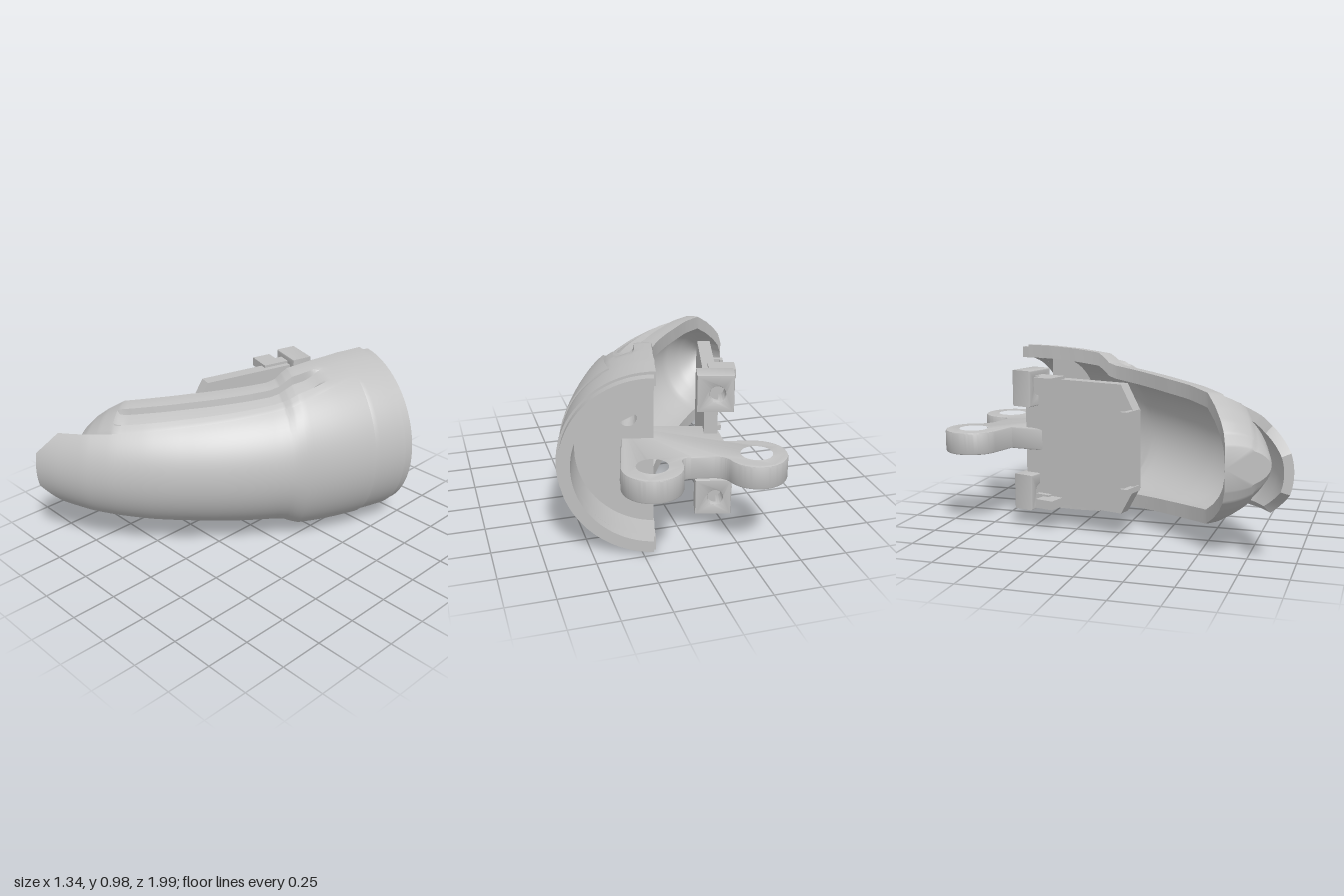
import * as THREE from 'three';
import { toCreasedNormals } from 'three/addons/utils/BufferGeometryUtils.js';

const MID = 0.49;                 // height of the symmetry plane
const ARC = 2.42;                 // radius of the shell's outer curve
const rad = THREE.MathUtils.degToRad;
const step = THREE.MathUtils.smoothstep;

// stations along the shell: angle on the arc, bulge beyond it, width, half height, shield half height
const common = [
  [15.3, 0, 0.497, 0.49, 0.40],
  [20, 0, 0.485, 0.49, 0.435],
  [25, 0.004, 0.459, 0.482, 0.405],
  [29.5, 0.008, 0.428, 0.468, 0.37],
  [30.6, 0.009, 0.421, 0.445, 0.352],
  [31.6, 0.01, 0.415, 0.415, 0.34],
  [33, 0.011, 0.406, 0.402, 0.33],
  [36, 0.013, 0.396, 0.394, 0.318],
  [40, 0.016, 0.386, 0.384, 0.302],
  [45, 0.02, 0.37, 0.371, 0.284],
  [50, 0.028, 0.346, 0.358, 0.265],
  [54.5, 0.033, 0.328, 0.34, 0.247],
];
const bodyStations = [...common, [57, 0.01, 0.302, 0.285, 0.22], [59, -0.015, 0.275, 0.227, 0.18],
  [60.3, -0.03, 0.26, 0.175, 0.14], [61, -0.045, 0.245, 0.11, 0.09]];
const shieldStations = [...common, [58, 0.03, 0.31, 0.325, 0.232], [62.3, 0.014, 0.3, 0.3, 0.212], [65, 0, 0.3, 0.3, 0.1]];

// section at fractional station s
function sectionAt(rows, s) {
  const i = Math.min(Math.floor(s), rows.length - 2);
  const [deg, bulge, W, h, edge] = rows[i].map((v, k) => THREE.MathUtils.lerp(v, rows[i + 1][k], s - i));
  const a = rad(deg), dx = Math.cos(a), dz = Math.sin(a);
  return {
    x: 0.66 + ARC * (dx - Math.cos(rad(15))) + (bulge - W) * dx,
    z: -0.58 + ARC * (dz - Math.sin(rad(15))) + (bulge - W) * dz,
    dx, dz, W, h, edge: Math.asin(edge / h),
  };
}

// sweep a C-shaped wall; profile gives [angle, scale] pairs from top to bottom
function sweepWall(rows, s0, profile, thick, closeTip) {
  const end = rows.length - 1;
  const n = (end - s0) * 6, pos = [], idx = [];
  let N = 0;
  for (let i = 0; i <= n; i++) {
    const s = s0 + i / 6, c = sectionAt(rows, s), pts = profile(s, c.edge);
    N = pts.length;
    const put = (a, W, h) => {
      const u = W * Math.cos(a);
      pos.push(c.x + c.dx * u, MID + h * Math.sin(a), c.z + c.dz * u);
    };
    for (const [a, k] of pts) put(a, c.W * k, c.h * k);
    const k = closeTip && i === n ? 0 : 1;
    for (const [a] of [...pts].reverse()) put(a, (c.W - thick) * k, (c.h - thick) * k);
  }
  const M = 2 * N;
  for (let i = 0; i < n; i++) for (let j = 0; j < M; j++) {
    const a = i * M + j, c = i * M + (j + 1) % M, b = a + M, d = c + M;
    idx.push(a, b, c, b, d, c);
  }
  for (let j = 0; j < N - 1; j++) {
    const a = j, b = j + 1, c = M - 1 - j, d = M - 2 - j, e = n * M;
    idx.push(a, b, c, b, d, c, e + a, e + c, e + b, e + b, e + c, e + d);
  }
  const g = new THREE.BufferGeometry();
  g.setAttribute('position', new THREE.Float32BufferAttribute(pos, 3));
  g.setIndex(idx);
  return toCreasedNormals(g, rad(28));
}

// body: ridge beside the opening, recessed channel, then the seat below the shield
function bodyProfile(s, edge) {
  const on = step(s, 1.8, 2.6) * (1 - step(s, 10.9, 11.2));
  const seat = 1 - 0.03 * step(s, 1, 1.17), lip = 1 - 0.012 * on, deep = 1 - 0.09 * on;
  const top = [[0, 1], [0.12, 1], [0.24, 1], [0.35, 1], [0.41, deep], [0.56, deep], [0.72, deep], [0.79, lip], [0.9, lip], [1, lip]]
    .map(([f, k]) => [Math.PI / 2 + (edge - Math.PI / 2) * f, k]);
  const mid = [];
  for (let j = 1; j < 24; j++) mid.push([edge * (1 - j / 12), seat]);
  return [...top, ...mid, ...[...top].reverse().map(([a, k]) => [-a, k])];
}

// shield: stands slightly proud of the body
const shieldProfile = (s, edge) =>
  Array.from({ length: 29 }, (_, j) => [edge * (1 - j / 14), 1.015]);

// half ring in the x-y plane, opening towards -x
function halfRing(R, r) {
  const sh = new THREE.Shape();
  sh.absarc(0, 0, R, -Math.PI / 2, Math.PI / 2, false);
  if (r) sh.absarc(0, 0, r, Math.PI / 2, -Math.PI / 2, true);
  return sh;
}

function circleHole(x, y, r) {
  const p = new THREE.Path();
  p.absarc(x, y, r, 0, Math.PI * 2, true);
  return p;
}

function extrude(shape, depth, bevel = 0) {
  const g = new THREE.ExtrudeGeometry(shape, {
    depth: depth - 2 * bevel, curveSegments: 32, bevelEnabled: bevel > 0,
    bevelSize: bevel, bevelThickness: bevel, bevelOffset: -bevel, bevelSegments: 2 });
  return toCreasedNormals(g.translate(0, 0, bevel), rad(28));
}

const polygon = pts => new THREE.Shape(pts.map(p => new THREE.Vector2(...p)));

export function createModel() {
  const model = new THREE.Group();
  const grey = new THREE.MeshStandardMaterial({ color: 0xc0c0c0 });
  grey.name = 'grey';
  const add = (parent, name, geo, x = 0, y = 0, z = 0) => {
    const m = new THREE.Mesh(geo, grey);
    m.name = name;
    m.position.set(x, y, z);
    parent.add(m);
  };

  add(model, 'shellBody', sweepWall(bodyStations, 0, bodyProfile, 0.075, true));
  add(model, 'outerShield', sweepWall(shieldStations, 1, shieldProfile, 0.045, false));

  // everything at the joint end shares a frame turned by 15 degrees
  const joint = new THREE.Group();
  joint.name = 'jointAssembly';
  joint.rotation.y = rad(-15);
  joint.position.y = MID;
  model.add(joint);

  add(joint, 'collarLip', extrude(halfRing(0.475, 0.412), 0.06), 0, 0, -0.772);
  const wall = halfRing(0.445, 0);
  for (const s of [-1, 1]) wall.holes.push(circleHole(0.13, s * 0.175, 0.045));
  add(joint, 'bulkhead', extrude(wall, 0.055), 0, 0, -0.55);

  // tubes behind the bulkhead holes
  for (const s of [-1, 1]) {
    const tube = new THREE.Shape();
    tube.absarc(0, 0, 0.09, 0, Math.PI * 2, false);
    tube.holes.push(circleHole(0, 0, 0.045));
    add(joint, 'screwBoss', extrude(tube, 0.1), 0.13, s * 0.175, -0.496);
  }

  // horizontal hinge plate with two eyes
  const R = 0.155, hinge = new THREE.Shape();
  hinge.moveTo(0.165, -0.39);
  hinge.lineTo(0.165, -0.872);
  hinge.absarc(0.01, -0.872, R, 0, rad(165), true);
  hinge.quadraticCurveTo(-0.125, -0.775, -0.19, -0.772);
  hinge.lineTo(-0.29, -0.765);
  hinge.quadraticCurveTo(-0.345, -0.765, -0.507 + R * Math.cos(rad(-28)), -0.734 + R * Math.sin(rad(-28)));
  hinge.absarc(-0.507, -0.734, R, rad(-28), rad(90), true);
  hinge.lineTo(-0.36, -0.58);
  hinge.lineTo(-0.33, -0.39);
  hinge.closePath();
  hinge.holes.push(circleHole(0.01, -0.872, 0.09), circleHole(-0.507, -0.734, 0.09));
  add(joint, 'hingePlate', extrude(hinge, 0.125, 0.01).rotateX(Math.PI / 2), 0, 0.0625, 0);

  // upright plate with chamfered far corners
  const plate = polygon([[-0.5, -0.35], [0.13, -0.35], [0.21, -0.21], [0.21, 0.21], [0.13, 0.35], [-0.5, 0.35]]);
  add(joint, 'uprightPlate', extrude(plate, 0.07).rotateY(-Math.PI / 2), -0.26, 0, 0);

  // mounting blocks, clips and prongs, mirrored above and below
  for (const s of [-1, 1]) {
    const block = polygon([[-0.1, -0.1], [0.09, -0.1], [0.09, 0.1], [-0.1, 0.1]]);
    block.holes.push(circleHole(-0.015, 0, 0.04));
    add(joint, 'mountBlock', extrude(block, 0.12, 0.008), -0.31, s * 0.293, -0.53);
    add(joint, 'blockBack', new THREE.BoxGeometry(0.17, 0.18, 0.02), -0.315, s * 0.293, -0.425);
    add(joint, 'clipNeck', new THREE.BoxGeometry(0.07, 0.06, 0.1), -0.325, s * 0.335, -0.38);
    add(joint, 'clip', new THREE.BoxGeometry(0.14, 0.05, 0.11), -0.36, s * 0.34, -0.312);
    add(joint, 'endProng', new THREE.BoxGeometry(0.13, 0.03, 0.03), -0.345, s * 0.205, 0.203);
    add(joint, 'prongTip', new THREE.BoxGeometry(0.02, 0.03, 0.045), -0.402, s * 0.205, 0.196);
  }
  return model;
}
